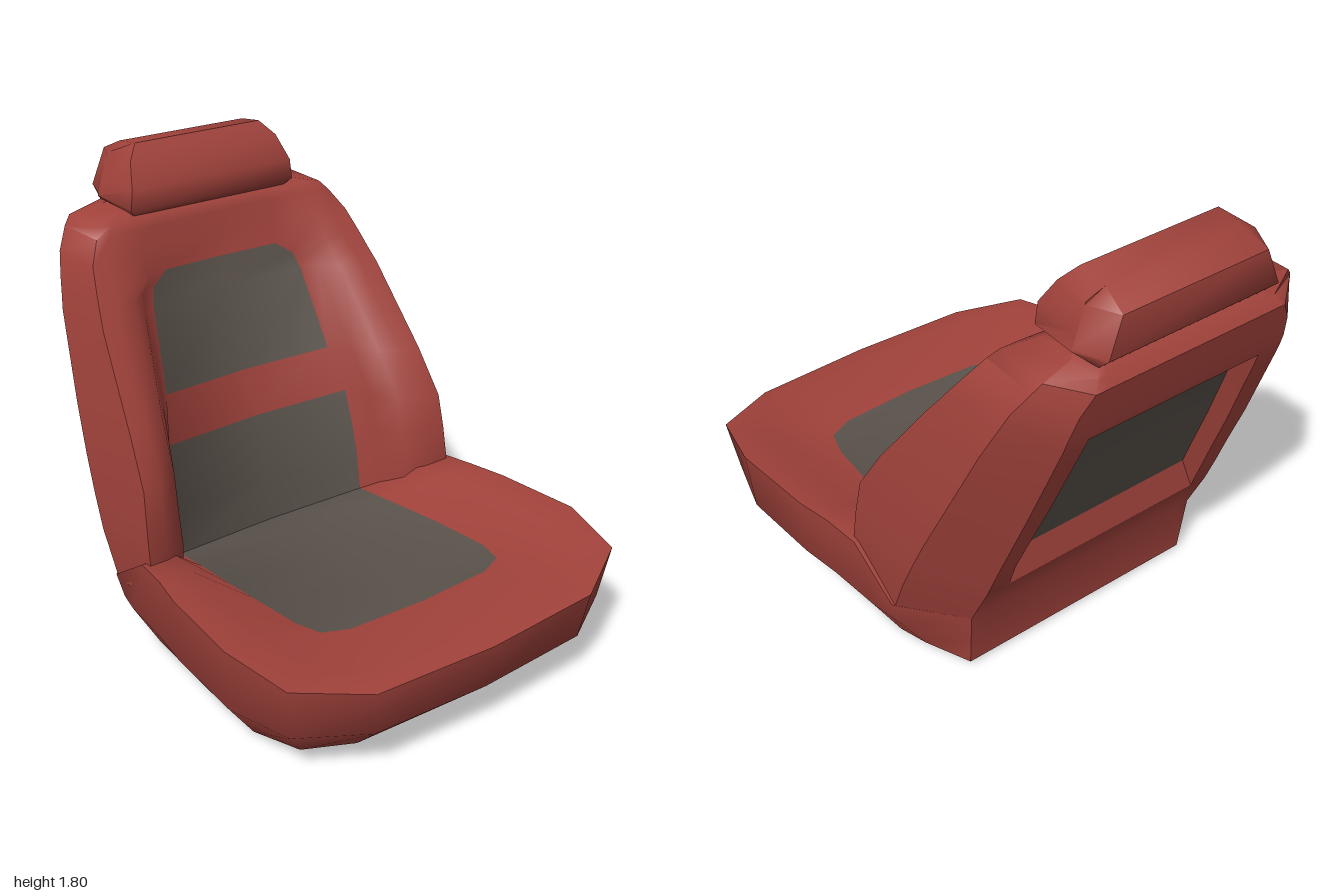
import * as THREE from 'three';
import { toCreasedNormals } from 'three/addons/utils/BufferGeometryUtils.js';

const red = new THREE.MeshStandardMaterial({ color: 0xa1423b, side: THREE.DoubleSide });
red.name = 'red upholstery';
const grey = new THREE.MeshStandardMaterial({ color: 0x5a524b, side: THREE.DoubleSide });
grey.name = 'grey fabric';
const RED = 0, GREY = 1, SKIP = -1;

// Mirrors a half section, listed from x = 0 outwards, to a full one
const mirror = (half) => {
  const other = half.filter((p) => p[0] > 0).map(([x, y, z]) => [-x, y, z]).reverse();
  return [...other, ...half];
};

// Skins rows of points; pick(row, column) gives the colour of each cell
function skin(name, rows, pick, crease) {
  const n = rows[0].length;
  const faces = [[], []];
  for (let r = 0; r < rows.length - 1; r++) {
    for (let c = 0; c < n - 1; c++) {
      const colour = pick(r, c);
      if (colour === SKIP) continue;
      const a = r * n + c, b = a + 1, d = a + n, e = d + 1;
      faces[colour].push(a, b, e, a, e, d);
    }
  }
  const geo = new THREE.BufferGeometry();
  geo.setAttribute('position', new THREE.Float32BufferAttribute(rows.flat(2), 3));
  geo.setIndex([...faces[RED], ...faces[GREY]]);
  geo.addGroup(0, faces[RED].length, 0);
  geo.addGroup(faces[RED].length, faces[GREY].length, 1);
  const mesh = new THREE.Mesh(toCreasedNormals(geo, crease), [red, grey]);
  mesh.name = name;
  return mesh;
}

// Cushion: nested rings, each from the front centre round to the back corner
function makeCushion() {
  const bottom = [[0, .02, .78], [.42, .02, .77], [.6, .02, .68], [.67, .02, .5], [.66, .02, .2],
    [.64, .012, 0], [.62, 0, -.2], [.59, .007, -.32], [.52, .02, -.51]];
  const middle = [[0, .19, .965], [.48, .19, .94], [.73, .2, .8], [.8, .2, .55], [.78, .2, .2],
    [.755, .2, .03], [.735, .2, -.2], [.7, .18, -.32], [.525, .145, -.5225]];
  const edge = [[0, .37, .995], [.5, .375, .97], [.76, .415, .83], [.82, .45, .56], [.79, .45, .2],
    [.76, .45, .05], [.74, .44, -.1], [.73, .29, -.32], [.53, .27, -.535]];
  const inner = [[0, .39, .9], [.45, .39, .87], [.61, .41, .76], [.66, .44, .52], [.64, .44, .2],
    [.62, .44, .05], [.59, .42, -.12], [.56, .29, -.32], [.5, .26, -.45]];
  const pad = [[0, .365, .62], [.32, .365, .605], [.42, .365, .56], [.45, .36, .45], [.455, .34, .2],
    [.455, .325, .05], [.45, .305, -.15], [.45, .285, -.32], [.45, .28, -.34]];
  const centre = pad.map(([, y, z]) => [0, y, z]);
  const spine = [...centre.slice(1).reverse(), ...centre];
  const rings = [bottom, middle, edge, inner, pad].map(mirror);
  return skin('seatCushion', [...rings, spine], (r) => (r === 4 ? GREY : RED), 1.3);
}

// Backrest levels: y, z of centre, bolster, side crease and back,
// then x of pad, bolster, outer side and back corner
const LEVELS = [
  [.27, -.32, -.10, -.32, -.535, .45, .54, .72, .53],
  [.45, -.345, -.07, -.40, -.62, .445, .545, .73, .525],
  [.58, -.375, -.09, -.457, -.672, .44, .545, .725, .52],
  [.72, -.41, -.115, -.52, -.727, .43, .54, .715, .51],
  [.9, -.475, -.225, -.605, -.80, .39, .52, .695, .50],
  [1.22, -.60, -.455, -.75, -.92, .35, .48, .652, .475],
  [1.28, -.623, -.50, -.777, -.942, .33, .47, .637, .47],
  [1.33, -.64, -.535, -.80, -.957, .26, .46, .625, .465],
  [1.42, -.665, -.60, -.84, -.98, .26, .45, .60, .445],
  [1.5, -.68, -.65, -.88, -1.0, .26, .42, .55, .40],
  [1.535, -.69, -.675, -.895, -.975, .26, .40, .52, .37],
  [1.56, -.73, -.73, -.88, -.94, .26, .37, .40, .34],
  [1.57, -.85, -.85, -.85, -.85, .26, .34, .37, .33],
];
const recessX = (y) => THREE.MathUtils.mapLinear(y, .45, 1.28, .45, .37);

function makeBackrestFront() {
  const rows = LEVELS.map(([y, zc, zb, zs, , xp, xb, xo]) => mirror([
    [0, y, zc],
    [xp, y, zc + (zb - zc) * .08],
    [(xp + xb) / 2, y, zc + (zb - zc) * .4],
    [xb, y, zc + (zb - zc) * .8],
    [(xb + xo) / 2, y, zc + (zb - zc) * .95],
    [xo - .008, y, zb],
    [xo, y, zs],
  ]));
  // Grey fabric panels lie either side of the centre line
  const pick = (r, c) => ((c === 5 || c === 6) && (r < 3 || (r > 3 && r < 7)) ? GREY : RED);
  return skin('backrestFront', rows, pick, 1.25);
}

function makeBackrestBack() {
  const rows = LEVELS.map(([y, , , zs, zk, , , xo, xk]) => {
    const x = Math.min(recessX(y), xk - .03);
    return mirror([[x, y, zk], [xk, y, zk], [xo, y, zs]]);
  });
  const foot = [.52, .02, -.51];
  rows.unshift(mirror([[.45, .02, -.51], foot, foot]));
  // Leaves an opening for the recess; the cushion closes the sides of the lowest row
  const pick = (r, c) => {
    if (c === 2) return r >= 2 && r < 7 ? SKIP : RED;
    return r === 0 && (c === 0 || c === 4) ? SKIP : RED;
  };
  return skin('backrestBack', rows, pick, 0.5);
}

// Recess in the back with a sloping ledge below a grey panel
function makeRecess() {
  const section = (y, z, depth, floorY = y) => {
    const x = recessX(y);
    return mirror([[x - .025, floorY, z + depth], [x, y, z]]);
  };
  const rim = LEVELS.slice(1, 7);
  const rows = rim.slice(0, 5).map(([y, , , , z], i) => section(y, z, i ? .07 : 0));
  const [topY, , , , topZ] = rim[5];
  rows.push(section(topY, topZ, .07, topY - .02), section(topY, topZ, 0));
  return skin('backRecess', rows, (r, c) => (c === 1 && r > 0 && r < 5 ? GREY : RED), 0.4);
}

// Headrest: a closed side profile with a half width at each point, and ridged ends
function makeHeadrest() {
  const profile = [[-.70, 1.543, .35], [-.675, 1.57, .375], [-.675, 1.65, .365], [-.73, 1.745, .335],
    [-.775, 1.8, .285], [-.89, 1.785, .285], [-.99, 1.74, .30], [-1, 1.6, .355], [-.95, 1.55, .35],
    [-.70, 1.543, .35]];
  const rows = profile.map(([z, y, w]) => {
    const endY = THREE.MathUtils.clamp(y, 1.59, 1.75);
    const endX = THREE.MathUtils.mapLinear(endY, 1.59, 1.75, .4, .35);
    return mirror([[w, y, z], [endX, endY, -.88]]);
  });
  return skin('headrest', rows, () => RED, 0.9);
}

export function createModel() {
  const seat = new THREE.Group();
  seat.name = 'carSeat';
  seat.add(makeCushion(), makeBackrestFront(), makeBackrestBack(), makeRecess(), makeHeadrest());
  return seat;
}
